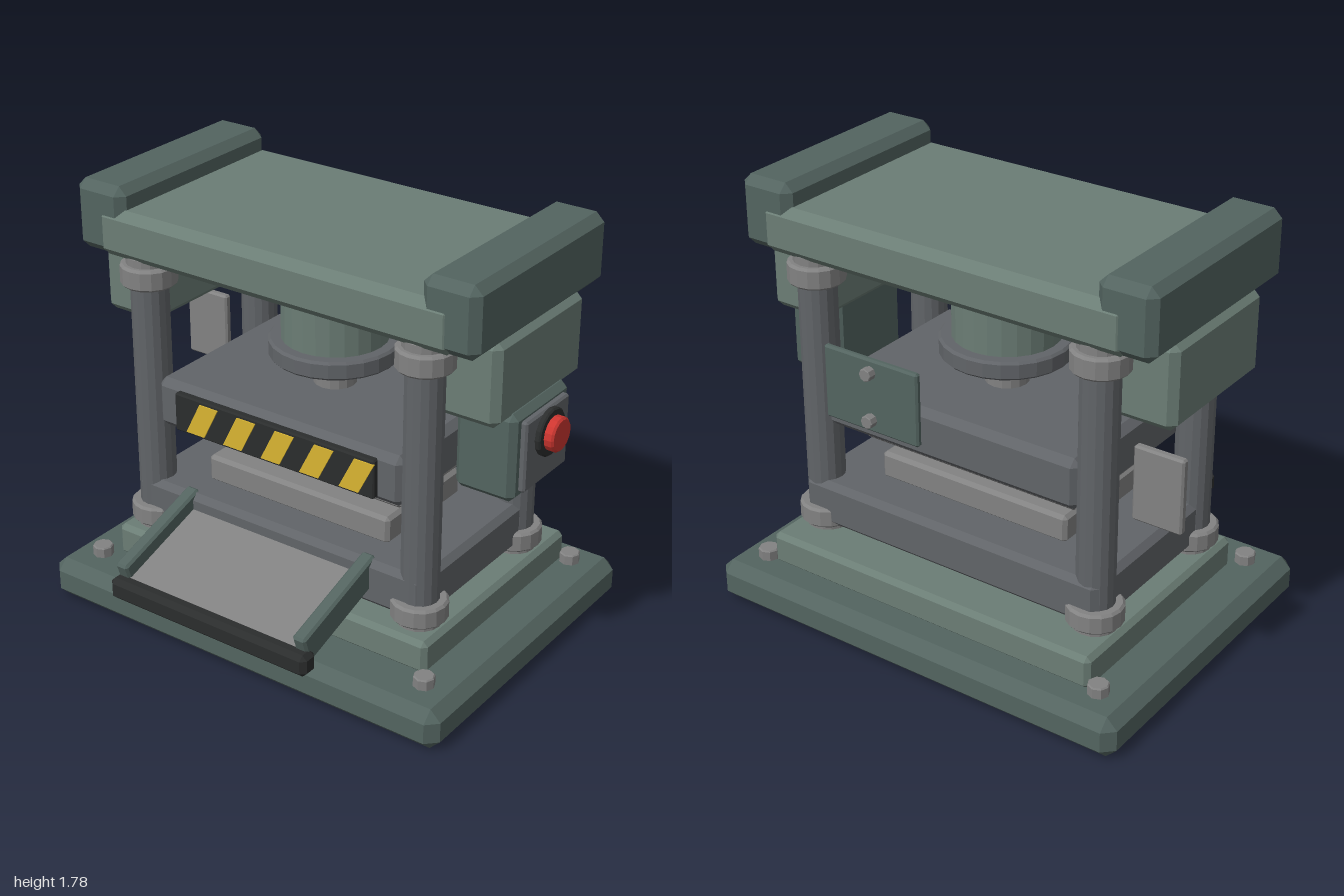
import * as THREE from 'three';
import { ConvexGeometry } from 'three/addons/geometries/ConvexGeometry.js';

const mat = (color) => new THREE.MeshStandardMaterial({ color, flatShading: true });

export function createModel() {
  const model = new THREE.Group();
  model.name = 'hydraulicPress';
  const green = mat(0x6b7d75), darkGreen = mat(0x536460), steel = mat(0x616468);
  const grey = mat(0x828282), black = mat(0x2b2d2d), red = mat(0xcc3630), yellow = mat(0xd9b532);
  const CX = -0.04, CZ = -0.08; // machine axis

  function add(name, geometry, material, parent = model) {
    const mesh = new THREE.Mesh(geometry, material);
    mesh.name = name;
    parent.add(mesh);
    return mesh;
  }

  // Box with all edges chamfered by c
  function chamferBox(w, h, d, c) {
    const pts = [];
    for (const sx of [-1, 1]) for (const sy of [-1, 1]) for (const sz of [-1, 1]) {
      const x = w / 2, y = h / 2, z = d / 2;
      pts.push(
        new THREE.Vector3(sx * x, sy * (y - c), sz * (z - c)),
        new THREE.Vector3(sx * (x - c), sy * y, sz * (z - c)),
        new THREE.Vector3(sx * (x - c), sy * (y - c), sz * z));
    }
    return new ConvexGeometry(pts);
  }

  // Chamfered box given by its limits
  function block(name, [x0, x1], [y0, y1], [z0, z1], c, material) {
    const mesh = add(name, chamferBox(x1 - x0, y1 - y0, z1 - z0, c), material);
    mesh.position.set((x0 + x1) / 2, (y0 + y1) / 2, (z0 + z1) / 2);
    return mesh;
  }

  // Upright disc or rod with bevelled rims, from y0 to y1
  function rod(name, r, y0, y1, x, z, material, sides = 16, bevel = 0.01) {
    const h = y1 - y0;
    const profile = [[0, 0], [r - bevel, 0], [r, bevel], [r, h - bevel], [r - bevel, h], [0, h]];
    const mesh = add(name, new THREE.LatheGeometry(profile.map((p) => new THREE.Vector2(...p)), sides), material);
    mesh.position.set(x, y0, z);
    return mesh;
  }

  // Base and stepped plinth
  block('base', [-0.99, 0.91], [0, 0.175], [-0.78, 0.62], 0.045, darkGreen);
  block('plinth', [-0.8, 0.725], [0.165, 0.305], [-0.64, 0.405], 0.02, green);
  for (const x of [-0.84, 0.76]) for (const z of [-0.63, 0.46])
    rod('anchorBolt', 0.043, 0.16, 0.22, x, z, grey, 8, 0.005);

  // Four columns with collars
  for (const x of [-0.687, 0.607]) for (const z of [-0.425, 0.267]) {
    rod('column', 0.077, 0.3, 1.5, x, z, steel, 16, 0.002);
    rod('columnFoot', 0.09, 0.3, 0.34, x, z, grey, 16, 0.003);
    rod('lowerCollar', 0.114, 0.325, 0.41, x, z, grey, 16);
    rod('upperCollar', 0.114, 1.375, 1.465, x, z, grey, 16);
    rod('columnHead', 0.09, 1.45, 1.5, x, z, grey, 16, 0.003);
  }

  // Bed and dies
  block('bed', [-0.74, 0.66], [0.335, 0.53], [-0.505, 0.34], 0.025, steel);
  block('lowerDie', [-0.48, 0.405], [0.52, 0.638], [-0.32, 0.19], 0.015, grey);
  block('dieInsert', [-0.3, 0.225], [0.642, 0.705], [-0.215, 0.085], 0.012, black);
  block('upperDie', [-0.54, 0.46], [0.7, 0.79], [-0.35, 0.19], 0.012, grey);
  block('ram', [-0.63, 0.55], [0.785, 0.998], [-0.48, 0.32], 0.03, steel);

  // Hazard plate with slanted stripes
  block('hazardPlate', [-0.515, 0.442], [0.808, 0.972], [0.3, 0.345], 0.006, black);
  const stripe = new THREE.Shape([[0, 0], [0.09, 0], [0.16, 0.138], [0.07, 0.138]].map((p) => new THREE.Vector2(...p)));
  for (let i = 0; i < 5; i++)
    add('hazardStripe', new THREE.ExtrudeGeometry(stripe, { depth: 0.008, bevelEnabled: false }), yellow)
      .position.set(-0.455 + i * 0.185, 0.82, 0.342);

  // Press cylinder
  rod('cylinder', 0.215, 1.18, 1.51, CX, CZ, green, 24, 0.002);
  rod('cylinderFlange', 0.265, 1.12, 1.197, CX, CZ, steel, 24);
  rod('pistonRod', 0.088, 0.98, 1.13, CX, CZ, grey, 16, 0.002);

  // Crown with end caps and side housings, mirrored about the machine axis
  block('crown', [-0.85, 0.78], [1.49, 1.69], [-0.54, 0.38], 0.035, green);
  for (const s of [-1, 1]) {
    const span = (a, b) => [CX + s * a, CX + s * b].sort((p, q) => p - q);
    block('endCap', span(0.68, 0.92), [1.495, 1.78], [-0.535, 0.375], 0.035, darkGreen);
    block('sideHousing', span(0.66, 0.925), [1.175, 1.52], [-0.385, 0.225], 0.03, green);
  }

  // Control box and stop button
  block('controlBox', [0.66, 0.915], [0.85, 1.21], [-0.25, 0.145], 0.025, darkGreen);
  block('controlPanel', [0.9, 0.94], [0.888, 1.178], [-0.205, 0.1], 0.008, steel);
  const button = new THREE.Group();
  button.name = 'stopButton';
  button.position.set(0.935, 1.085, -0.053);
  button.rotation.z = -Math.PI / 2;
  model.add(button);
  button.add(rod('buttonCollar', 0.096, 0, 0.027, 0, 0, black, 16, 0.006));
  button.add(rod('buttonCap', 0.069, 0.02, 0.065, 0, 0, red, 16, 0.008));

  // Side plate and rear access panel with knobs
  block('sidePlate', [-1, -0.79], [0.765, 1.073], [-0.36, -0.325], 0.008, grey);
  block('rearPanel', [0.02, 0.465], [0.89, 1.197], [-0.57, -0.542], 0.008, darkGreen);
  for (const y of [0.945, 1.145])
    rod('panelKnob', 0.027, 0, 0.045, 0.24, -0.56, grey, 8, 0.003).rotation.x = -Math.PI / 2;
  model.children.filter((m) => m.name === 'panelKnob').forEach((m, i) => { m.position.y = [0.945, 1.145][i]; });

  // Sloping discharge chute
  const chute = new THREE.Group();
  chute.name = 'chute';
  chute.position.set(CX, 0.41, 0.508);
  chute.rotation.x = 0.314;
  model.add(chute);
  for (const x of [-0.433, 0.433])
    add('chuteRail', chamferBox(0.06, 0.122, 0.48, 0.01), darkGreen, chute).position.x = x;
  add('chuteTray', new THREE.BoxGeometry(0.82, 0.03, 0.47), grey, chute).position.y = -0.015;
  block('chuteLip', [-0.515, 0.44], [0.243, 0.337], [0.697, 0.782], 0.02, black);

  return model;
}
